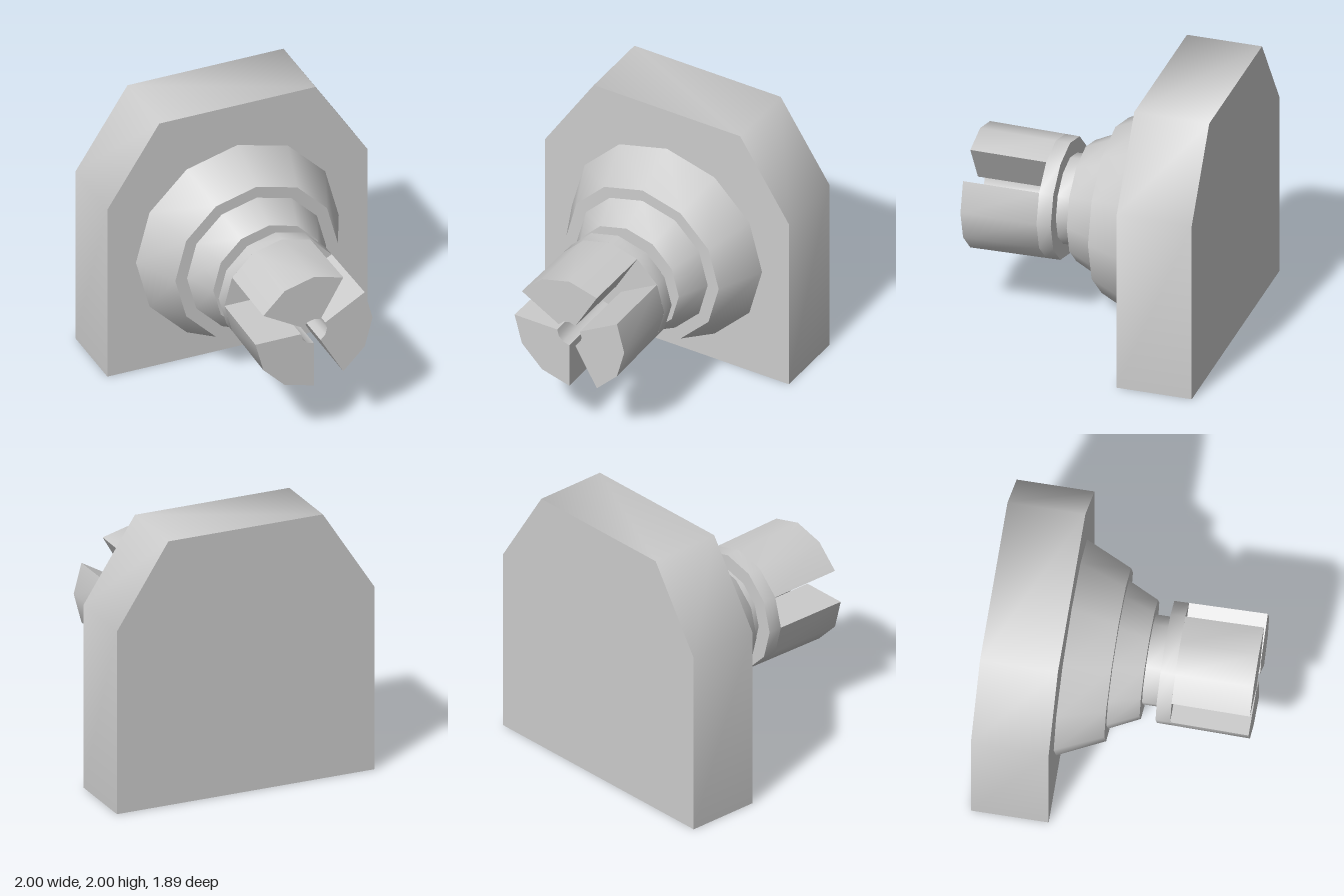
import * as THREE from 'three';
import { toCreasedNormals } from 'three/addons/utils/BufferGeometryUtils.js';

const AXIS_Y = 0.89; // height of the spindle axis
const STEP = Math.PI / 6; // twelve-sided round parts

const material = new THREE.MeshStandardMaterial({ color: 0xcccccc });

function addPart(group, name, geometry, crease) {
  const mesh = new THREE.Mesh(toCreasedNormals(geometry, crease), material);
  mesh.name = name;
  group.add(mesh);
  return mesh;
}

// Turned part along z from [radius, z] pairs, back to front
function turned(profile) {
  const points = profile.map(([r, z]) => new THREE.Vector2(r, z));
  return new THREE.LatheGeometry(points, 12).rotateX(Math.PI / 2);
}

// Quarter-ring jaw, widening slightly towards the front
function jawGeometry(start) {
  const points = [];
  const ring = (r, i) => points.push(
    new THREE.Vector2(r * Math.cos(start + i * STEP), r * Math.sin(start + i * STEP)));
  for (let i = 0; i <= 3; i++) ring(0.45, i);
  for (let i = 3; i >= 0; i--) ring(0.1, i);
  const depth = 0.56;
  const geometry = new THREE.ExtrudeGeometry(new THREE.Shape(points), { depth, bevelEnabled: false });
  const pos = geometry.attributes.position;
  for (let i = 0; i < pos.count; i++) {
    const s = 0.982 + 0.018 * pos.getZ(i) / depth;
    pos.setXY(i, pos.getX(i) * s, pos.getY(i) * s);
  }
  return geometry.translate(0, 0, 0.385);
}

export function createModel() {
  const model = new THREE.Group();
  model.name = 'spindleHead';

  // Housing block with chamfered upper corners
  const outline = [[-1, 0], [1, 0], [1, 1.385], [0.6, 2], [-0.6, 2], [-1, 1.385]];
  const block = new THREE.ExtrudeGeometry(
    new THREE.Shape(outline.map(([x, y]) => new THREE.Vector2(x, y))),
    { depth: 0.555, bevelEnabled: false }
  ).translate(0, 0, -0.945);
  addPart(model, 'housingBlock', block, 1.05);

  const spindle = new THREE.Group();
  spindle.name = 'spindle';
  spindle.position.y = AXIS_Y;
  model.add(spindle);

  // Stepped cones, neck and chuck base
  addPart(spindle, 'rearCone', turned([[0.78, -0.39], [0.625, -0.055], [0, -0.055]]), 0.9);
  addPart(spindle, 'frontCone', turned([[0.535, -0.055], [0.43, 0.165], [0, 0.165]]), 0.9);
  addPart(spindle, 'neck', turned([[0.325, 0.165], [0.325, 0.28]]), 0.9);
  addPart(spindle, 'chuckBase', turned([[0, 0.28], [0.44, 0.28], [0.442, 0.385], [0, 0.385]]), 0.9);

  // Three jaws, each a quarter turn wide, with slots between
  for (let i = 0; i < 3; i++) {
    addPart(spindle, `jaw${i + 1}`, jawGeometry(Math.PI / 3 + i * Math.PI * 2 / 3), 0.9);
  }

  return model;
}
